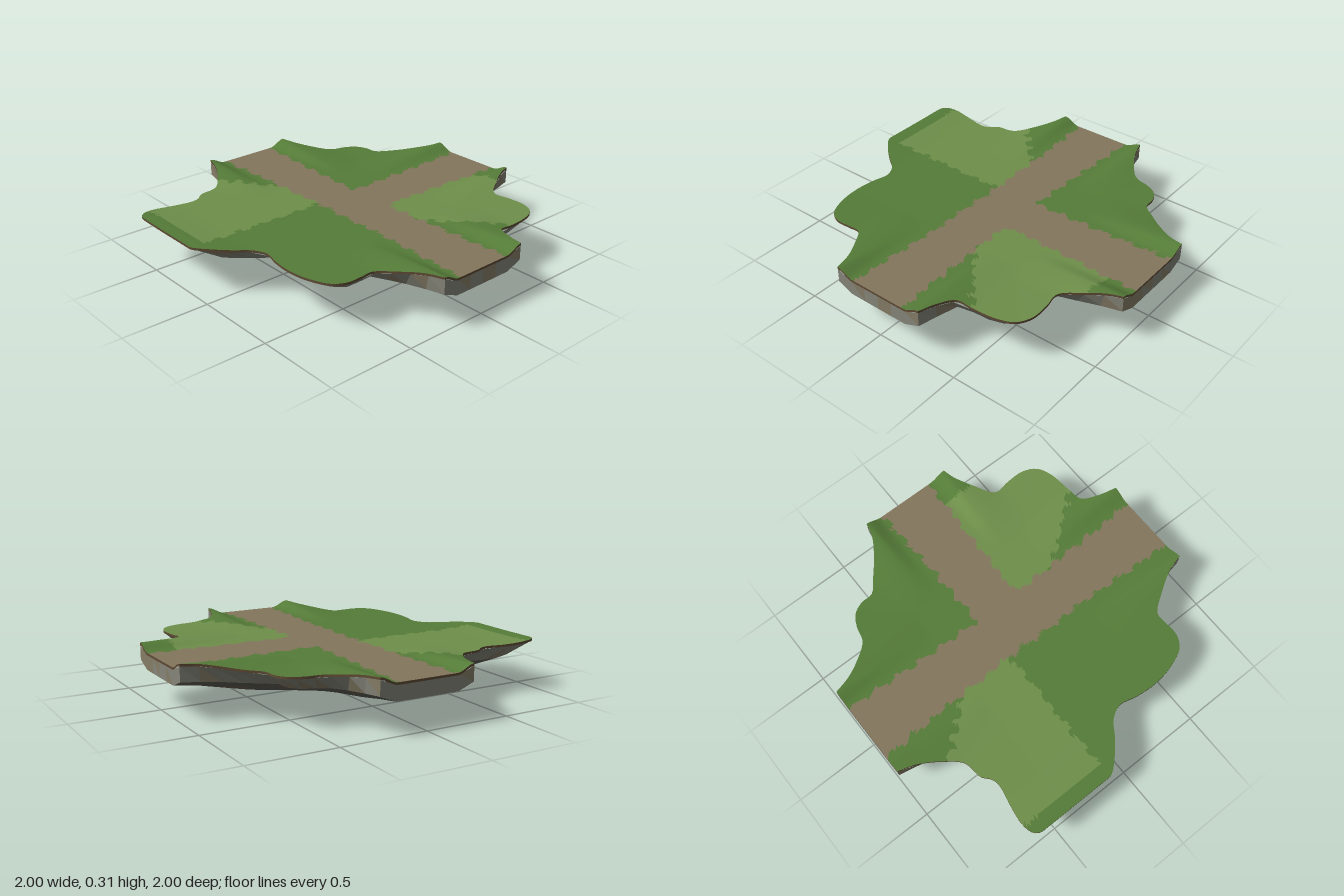
import * as THREE from 'three';

const { clamp, smoothstep, lerp } = THREE.MathUtils;

let seed = 7;
const rand = () => (seed = (seed * 16807) % 2147483647) / 2147483647;

// Island outline: three curved coasts joined by the straight ends of three arms
const coastFrontLeft = [[1, 0.28], [0.93, 0.3], [0.82, 0.36], [0.71, 0.44], [0.72, 0.54], [0.72, 0.65],
  [0.68, 0.73], [0.6, 0.77], [0.44, 0.79], [0.36, 0.8], [0.31, 0.89], [0.28, 1]];
const coastRight = [[-0.28, 1], [-0.31, 0.9], [-0.38, 0.78], [-0.46, 0.68], [-0.53, 0.68], [-0.62, 0.68],
  [-0.69, 0.64], [-0.74, 0.53], [-0.76, 0.4], [-0.75, 0.27], [-0.73, 0.17], [-0.77, 0.09], [-0.85, 0.03],
  [-0.94, -0.05], [-1, -0.13], [-1, -0.28], [-1, -0.45], [-1, -0.6], [-0.97, -0.64], [-0.9, -0.655],
  [-0.78, -0.64], [-0.67, -0.62], [-0.62, -0.63], [-0.57, -0.67], [-0.46, -0.69], [-0.38, -0.78],
  [-0.31, -0.9], [-0.28, -1]];
const coastBackLeft = [[0.28, -1], [0.31, -0.9], [0.36, -0.81], [0.44, -0.715], [0.53, -0.69], [0.6, -0.65],
  [0.635, -0.58], [0.64, -0.51], [0.72, -0.44], [0.82, -0.36], [0.92, -0.3], [1, -0.28]];

function makeOutline() {
  const sections = [[coastFrontLeft, 48], [[[0.28, 1], [-0.28, 1]], 24], [coastRight, 128],
    [[[-0.28, -1], [0.28, -1]], 24], [coastBackLeft, 48], [[[1, -0.28], [1, 0.28]], 24]];
  return sections.flatMap(([pts, n]) => {
    const curve = new THREE.CatmullRomCurve3(pts.map(([x, z]) => new THREE.Vector3(x, 0, z)));
    return curve.getSpacedPoints(n).slice(0, n).map(p => p.setX(clamp(p.x, -1, 1)));
  });
}

// Ground height: level paths with banks rising along both sides of each arm
function height(x, z) {
  const bank = (along, across) => smoothstep(across, 0.18, 0.28)
    * (1 - 0.8 * smoothstep(across, 0.29, 0.5)) * clamp((along - 0.4) / 0.6, 0, 1);
  const rise = Math.max(bank(Math.abs(z), Math.abs(x)), bank(x, Math.abs(z)));
  return 0.272 + 0.038 * rise + 0.012 * smoothstep(-x, 0.75, 1);
}

// Which ground covers a point: 0 path, 1 grass, 2 light grass
function ground(x, z) {
  const wobble = 0.012 * Math.sin(47 * (x + z)) + 0.008 * Math.sin(83 * (x - z));
  const half = 0.14 + 0.03 * (x * x + z * z) + wobble;
  if (Math.abs(x) < half || (x > 0 && Math.abs(z) < half)) return 0;
  const backMeadow = x > -0.92 && z < -0.13 + wobble && x < 0
    && z > -0.78 + (x + 0.43) * 1.12 + 2 * wobble;
  const frontMeadow = x > 0 && x < 0.83 && z > 0
    && z < 0.4 + (x - 0.14) * 1.26 + 2 * wobble;
  return backMeadow || frontMeadow ? 2 : 1;
}

// Skins closed rings and sorts the faces into one mesh per material
function skin(rings, parts, pick, flat) {
  const n = rings[0].length;
  const pos = new THREE.Float32BufferAttribute(rings.flat().flatMap(p => [p.x, p.y, p.z]), 3);
  const whole = new THREE.BufferGeometry().setAttribute('position', pos);
  const all = [], sorted = parts.map(() => []);
  for (let i = 0; i < rings.length - 1; i++) {
    for (let j = 0; j < n; j++) {
      const k = (j + 1) % n;
      const a = i * n + j, b = i * n + k, c = a + n, d = b + n;
      for (const tri of [[a, b, c], [b, d, c]]) {
        const mid = axis => tri.reduce((s, v) => s + pos.array[v * 3 + axis], 0) / 3;
        all.push(...tri);
        sorted[pick(mid(0), mid(2))].push(...tri);
      }
    }
  }
  whole.setIndex(all);
  whole.computeVertexNormals();
  return parts.map(([name, color], m) => {
    const geo = whole.clone().setIndex(sorted[m]);
    const mesh = new THREE.Mesh(geo, new THREE.MeshStandardMaterial({ color, flatShading: flat }));
    mesh.name = name;
    return mesh;
  });
}

export function createModel() {
  const group = new THREE.Group();
  group.name = 'island';
  const outline = makeOutline();

  // Top ground, from the middle outwards
  const steps = 36;
  const topRings = Array.from({ length: steps + 1 }, (_, i) => outline.map(p => {
    const x = p.x * i / steps, z = p.z * i / steps;
    return new THREE.Vector3(x, height(x, z), z);
  }));
  group.add(...skin(topRings, [['path', 0x84765c], ['grass', 0x557c38], ['lightGrass', 0x6e8f4a]], ground, false));

  // Thin earth rim under the turf
  const edge = topRings[steps];
  const rimBottom = edge.map(p => p.clone().setY(p.y - 0.013));
  group.add(...skin([edge, rimBottom], [['earthRim', 0x5f4a34]], () => 0, true));

  // Rock wall: upright at the arm ends, undercut beneath the lobes
  const wallTop = rimBottom.filter((_, i) => i % 4 === 0);
  const wallBottom = wallTop.map(p => {
    const reach = Math.max(p.x, Math.abs(p.z));
    const inset = 0.14 * clamp((0.95 - reach) / 0.3, 0, 1);
    const s = 1 - inset / Math.hypot(p.x, p.z);
    return new THREE.Vector3(p.x * s, p.y - 0.083, p.z * s);
  });
  const stone = [['paleRock', 0x85857a], ['brownRock', 0x857c66]];
  const mixed = () => (rand() < 0.75 ? 0 : 1);
  group.add(...skin([wallTop, wallBottom], stone, mixed, true));

  // Underside: a shallow craggy cone running to one low point
  const apex = new THREE.Vector3(0.06, 0, -0.11);
  const underRings = [1, 0.8, 0.55, 0.3, 0.12, 0].map((t, i) => wallBottom.map(p => {
    const rough = t > 0 && t < 1 ? rand() - 0.5 : 0;
    const q = p.clone().lerp(apex, 1 - t - rough * 0.08);
    const power = lerp(1.05, 1.7, clamp(-p.x, 0, 1));
    q.y = Math.max(0, p.y * Math.pow(t, power) + rough * 0.028 * Math.min(1, t * 3));
    return q;
  }));
  group.add(...skin(underRings, [['darkRock', 0x5c5d54], ['brownCrag', 0x675f50]], mixed, true));
  return group;
}
